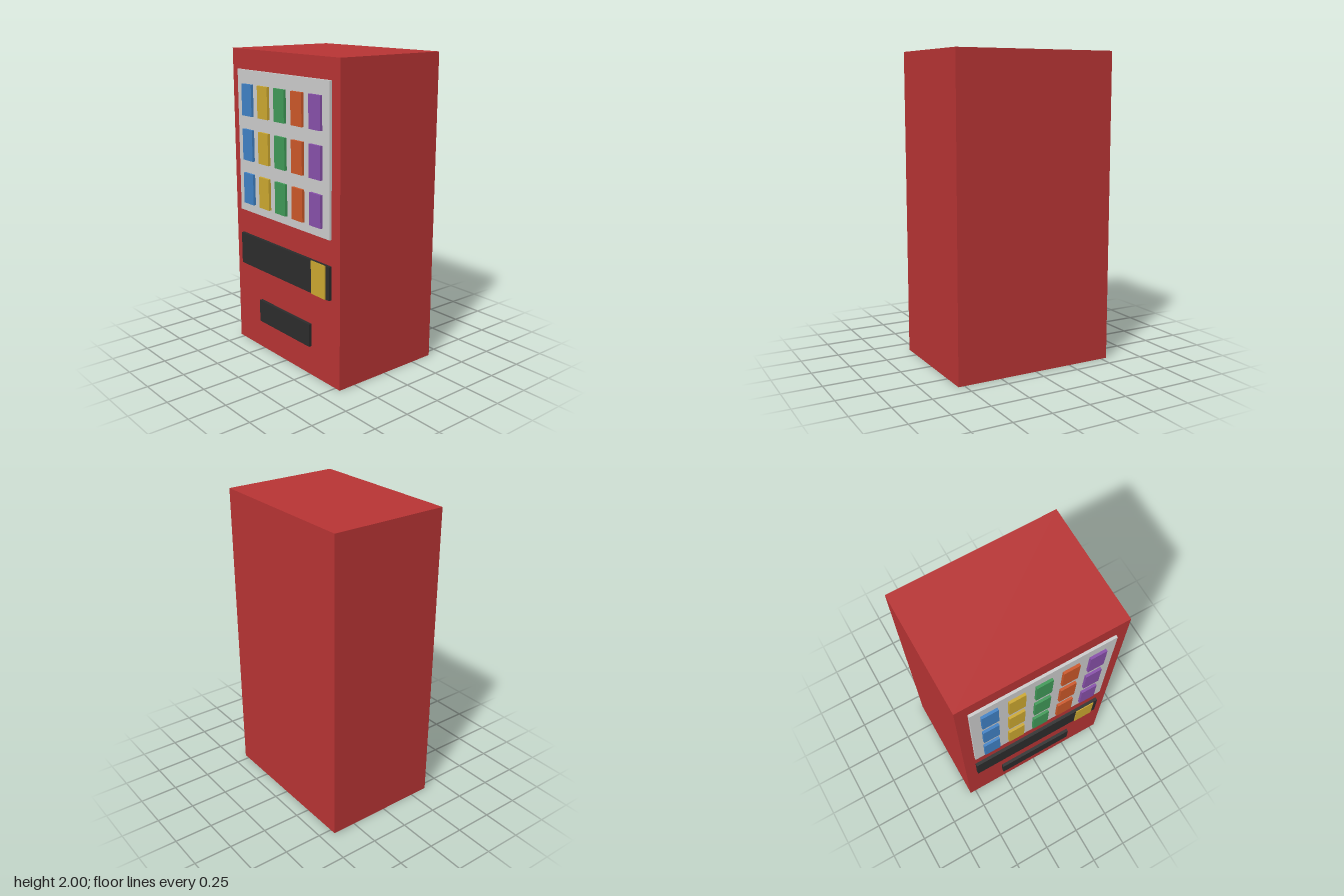
import * as THREE from 'three';

const mat = (name, color) => {
  const m = new THREE.MeshStandardMaterial({ color });
  m.name = name;
  return m;
};

export function createModel() {
  const group = new THREE.Group();
  group.name = 'vendingMachine';

  const red = mat('cabinet red', 0xb83434);
  const grey = mat('panel grey', 0xcccccc);
  const black = mat('slot black', 0x2c2c2c);
  const yellow = mat('yellow', 0xcca830);
  const products = [
    mat('blue', 0x4082c6), yellow, mat('green', 0x409a58),
    mat('orange', 0xcc5829), mat('purple', 0x8850aa),
  ];

  // Box given by its extents on each axis
  const box = (name, material, [x0, x1], [y0, y1], [z0, z1]) => {
    const mesh = new THREE.Mesh(new THREE.BoxGeometry(x1 - x0, y1 - y0, z1 - z0), material);
    mesh.position.set((x0 + x1) / 2, (y0 + y1) / 2, (z0 + z1) / 2);
    mesh.name = name;
    group.add(mesh);
  };

  const front = 0.371;
  box('cabinet', red, [-0.541, 0.541], [0, 2], [-0.408, front]);
  box('displayPanel', grey, [-0.465, 0.465], [0.943, 1.872], [front, 0.388]);

  // Three shelves of five products
  for (let row = 0; row < 3; row++) {
    products.forEach((material, col) => {
      const x = (col - 2) * 0.1735, y = 1.103 + row * 0.29;
      box('product', material, [x - 0.0535, x + 0.0535], [y - 0.1015, y + 0.1015], [0.388, 0.405]);
    });
  }

  // Control strip with payment plate, and pickup slot
  box('controlStrip', black, [-0.465, 0.465], [0.565, 0.778], [front, 0.392]);
  box('paymentPlate', yellow, [0.298, 0.432], [0.565, 0.778], [0.392, 0.398]);
  box('pickupSlot', black, [-0.268, 0.268], [0.198, 0.348], [front, 0.392]);

  return group;
}
